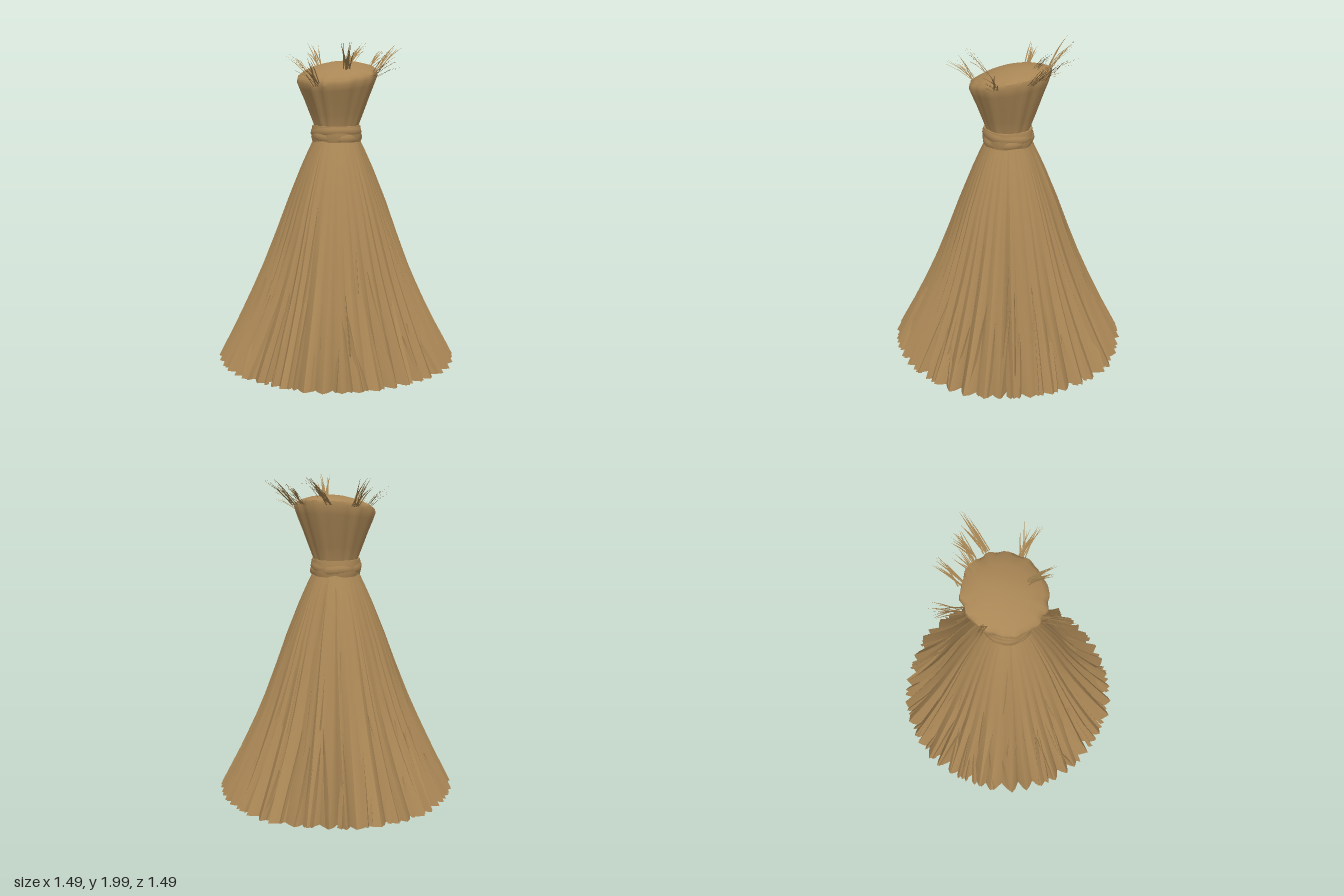
import * as THREE from 'three';
import { toCreasedNormals } from 'three/addons/utils/BufferGeometryUtils.js';

// Seeded random numbers
let seed = 7;
const rnd = () => {
  seed = (seed * 16807) % 2147483647;
  return seed / 2147483647;
};
const span = (a, b) => a + (b - a) * rnd();

// Skirt radius by height
const SKIRT = [[0, 0.735], [0.2, 0.632], [0.4, 0.537], [0.6, 0.452], [0.8, 0.377], [1, 0.306], [1.2, 0.226], [1.3, 0.182], [1.4, 0.135]];
function skirtRadius(y) {
  for (let i = 1; i < SKIRT.length; i++) {
    const [y0, r0] = SKIRT[i - 1], [y1, r1] = SKIRT[i];
    if (y <= y1) return r0 + (r1 - r0) * (y - y0) / (y1 - y0);
  }
  return 0.135;
}
const polar = (angle, r, y) => new THREE.Vector3(Math.sin(angle) * r, y, Math.cos(angle) * r);

// Surface through closed rings, listed from bottom to top
function loft(rows, cols, pointAt, crease = 0.6) {
  const pos = [], index = [];
  for (let j = 0; j < rows; j++)
    for (let i = 0; i < cols; i++) pos.push(...pointAt(j, i).toArray());
  for (let j = 0; j < rows - 1; j++)
    for (let i = 0; i < cols; i++) {
      const k = (i + 1) % cols;
      const a = j * cols + i, b = j * cols + k, c = b + cols, d = a + cols;
      index.push(a, b, c, a, c, d);
    }
  const geo = new THREE.BufferGeometry();
  geo.setAttribute('position', new THREE.Float32BufferAttribute(pos, 3));
  geo.setIndex(index);
  return toCreasedNormals(geo, crease);
}

// Pleated cone of straw with a flat base
function skirtGeometry() {
  const teeth = 44, per = 4;
  const pleats = Array.from({ length: teeth }, () => ({
    shift: span(-0.3, 0.3), depth: span(0.55, 1.1), lean: span(-0.5, 0.5), fade: span(0.7, 2.2),
  }));
  const saw = [0, 0.35, 1, 0.45];
  const heights = [0, 0, 0.02, 0.1, 0.2, 0.32, 0.45, 0.6, 0.8, 1, 1.2, 1.3, 1.4];
  return loft(heights.length, teeth * per, (j, i) => {
    if (j === 0) return new THREE.Vector3(0, 0, 0);
    const y = heights[j], t = y / 1.4;
    const k = Math.floor(i / per), p = pleats[k], q = pleats[(k + 1) % teeth];
    const f = (i % per) / per;
    const move = (p.shift + p.lean * t) * (1 - f) + (q.shift + q.lean * t) * f;
    const angle = (k + f + move) / teeth * Math.PI * 2;
    const depth = p.depth * (0.085 * Math.pow(1 - t, p.fade) + 0.012);
    const wave = 0.012 * Math.sin(angle * 5 + y * 2) + 0.008 * Math.sin(angle * 9 - y * 3);
    return polar(angle, skirtRadius(y) * (1.01 + wave - depth * saw[i % per]), y);
  });
}

// Ridged sheaf of straw lying on the skirt, pointed at the top
function sheafGeometry(angle, y0, y1, width, lift, lean) {
  const pos = [], index = [], steps = 4;
  for (let j = 0; j <= steps; j++) {
    const t = j / steps, y = y0 + (y1 - y0) * t;
    const r = skirtRadius(y), w = width * (1 - t) * (0.6 + 0.8 * t) / r;
    const mid = angle + lean * t / r;
    const low = r * 0.975, high = r + lift * (1 - t * t) - 0.004;
    pos.push(...polar(mid - w, low, y).toArray(), ...polar(mid + w * 0.3, high, y).toArray(), ...polar(mid + w, low, y).toArray());
    if (j) {
      const a = (j - 1) * 3;
      for (const s of [a, a + 1]) index.push(s, s + 1, s + 4, s, s + 4, s + 3);
    }
  }
  index.push(0, 2, 1);
  const geo = new THREE.BufferGeometry();
  geo.setAttribute('position', new THREE.Float32BufferAttribute(pos, 3));
  geo.setIndex(index);
  return toCreasedNormals(geo, 0.5);
}

// Flared head above the tie, sloping down to the front with a domed top
function headGeometry() {
  const profile = [[0.125, 1.4], [0.135, 1.47], [0.165, 1.55], [0.198, 1.64], [0.23, 1.72], [0.246, 1.765], [0.241, 1.79], [0.215, 1.808], [0.15, 1.832], [0.08, 1.848], [0, 1.853]];
  const cols = 72;
  return loft(profile.length, cols, (j, i) => {
    const [r, y] = profile[j], a = i / cols * Math.PI * 2;
    const up = THREE.MathUtils.clamp((y - 1.47) / 0.3, 0, 1);
    const side = j < 7 ? 1 : 0.15;
    const fold = Math.sin(a * 11 + Math.sin(a * 3) * 1.5) * 0.024 + Math.sin(a * 19) * 0.012;
    const p = polar(a, r * (1 + fold * side), y);
    p.z -= 0.014 * up;
    p.y -= 0.2 * p.z * up;
    return p;
  }, 0.8);
}

// Cloth wrap around the neck; tilt makes the strips cross
function wrapGeometry(y, height, radius, tilt, turn) {
  const half = height / 2, cols = 40;
  const profile = [[-0.03, -half], [0, -half], [0.007, -half * 0.4], [0.005, half * 0.4], [0, half], [-0.03, half]];
  return loft(profile.length, cols, (j, i) => {
    const a = i / cols * Math.PI * 2;
    const r = radius + profile[j][0] + 0.003 * Math.sin(a * 5 + turn);
    return polar(a, r, y + profile[j][1] + tilt * Math.sin(a + turn));
  }, 0.7);
}

// Thin bent straw blade
function bladeGeometry(root, tip, width) {
  const dir = tip.clone().sub(root);
  const side = new THREE.Vector3(dir.z, 0, -dir.x).normalize().multiplyScalar(width);
  const mid = root.clone().lerp(tip, 0.55);
  mid.y += 0.012;
  const geo = new THREE.BufferGeometry().setFromPoints([
    root.clone().sub(side), root.clone().add(side), mid.clone().add(side), mid.clone().sub(side), tip,
  ]);
  geo.setIndex([0, 1, 2, 0, 2, 3, 3, 2, 4]);
  geo.computeVertexNormals();
  return geo;
}

export function createModel() {
  seed = 7;
  const model = new THREE.Group();
  model.name = 'strawSheaf';
  const straw = new THREE.MeshStandardMaterial({ color: 0xa98655 });
  straw.name = 'straw';
  const strawBlade = new THREE.MeshStandardMaterial({ color: 0xa08050, side: THREE.DoubleSide });
  strawBlade.name = 'strawBlade';
  const add = (name, geo, mat = straw, parent = model) => {
    const mesh = new THREE.Mesh(geo, mat);
    mesh.name = name;
    parent.add(mesh);
  };

  add('skirt', skirtGeometry());

  // Overlapping sheaves: short ones at the hem, long ones higher up
  const sheaves = new THREE.Group();
  sheaves.name = 'sheaves';
  model.add(sheaves);
  for (let i = 0; i < 64; i++) {
    const a = (i + span(-0.4, 0.4)) / 64 * Math.PI * 2;
    add('hemSheaf', sheafGeometry(a, 0.004, span(0.2, 0.6), span(0.018, 0.034), span(0.004, 0.014), span(-0.05, 0.05)), straw, sheaves);
  }
  for (let i = 0; i < 34; i++) {
    const a = (i + span(-0.4, 0.4)) / 34 * Math.PI * 2, y = span(0.1, 0.75);
    add('longSheaf', sheafGeometry(a, y, y + span(0.3, 0.55), span(0.008, 0.018), span(0.003, 0.008), span(-0.03, 0.03)), straw, sheaves);
  }

  add('head', headGeometry());

  // Neck tie
  add('tie', wrapGeometry(1.422, 0.1, 0.148, 0, 0));
  add('tieUpperWrap', wrapGeometry(1.432, 0.045, 0.151, 0.012, 0.9));
  add('tieLowerWrap', wrapGeometry(1.408, 0.045, 0.1505, 0.012, 3.6));

  // Loose tufts: root xyz, tip xyz, spread, blade count
  const tufts = [
    [-0.2, 1.79, -0.04, -0.34, 1.9, -0.04, 0.03, 9],
    [-0.19, 1.82, -0.19, -0.3, 1.95, -0.29, 0.04, 10],
    [-0.06, 1.83, -0.24, -0.03, 1.92, -0.39, 0.03, 10],
    [0.01, 1.85, -0.16, 0.05, 1.97, -0.3, 0.04, 10],
    [0.11, 1.83, -0.25, 0.15, 1.92, -0.38, 0.04, 11],
    [0.18, 1.82, -0.21, 0.26, 1.94, -0.37, 0.04, 12],
    [0.23, 1.78, -0.02, 0.39, 1.87, -0.03, 0.06, 12],
    [0.1, 1.82, 0.07, 0.16, 1.95, 0.21, 0.04, 10],
    [-0.03, 1.73, 0.22, -0.05, 1.85, 0.38, 0.05, 9],
  ];
  for (const [x, y, z, tx, ty, tz, spread, count] of tufts) {
    const tuft = new THREE.Group();
    tuft.name = 'tuft';
    model.add(tuft);
    for (let i = 0; i < count; i++) {
      const root = new THREE.Vector3(x + span(-0.02, 0.02), y - 0.015, z + span(-0.02, 0.02));
      const tip = new THREE.Vector3(tx + span(-spread, spread), ty + span(-spread, spread), tz + span(-spread, spread));
      tip.y = Math.min(tip.y, 2);
      add('blade', bladeGeometry(root, tip, span(0.002, 0.004)), strawBlade, tuft);
    }
  }
  return model;
}
